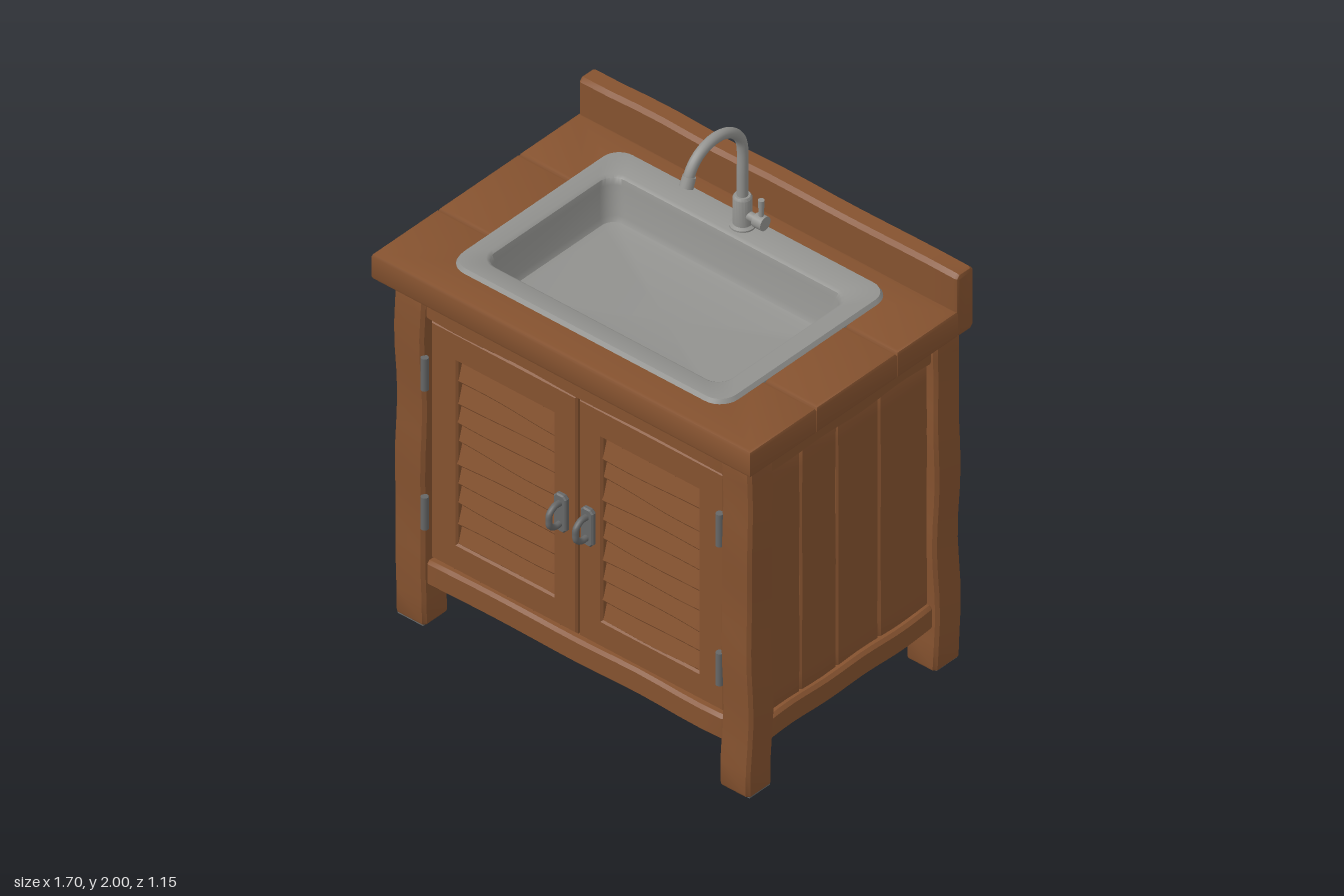
import * as THREE from 'three';
import { toCreasedNormals } from 'three/addons/utils/BufferGeometryUtils.js';

const mat = (name, color, side = THREE.FrontSide) => {
  const m = new THREE.MeshStandardMaterial({ color, side });
  m.name = name;
  return m;
};

export function createModel() {
  const wood = mat('wood', 0x85522f);
  const steel = mat('steel', 0x92928f, THREE.DoubleSide);
  const iron = mat('darkIron', 0x666767);
  const root = new THREE.Group();
  root.name = 'sinkCabinet';

  const add = (name, geo, material, parent = root) => {
    const mesh = new THREE.Mesh(geo, material);
    mesh.name = name;
    parent.add(mesh);
    return mesh;
  };

  // Rectangle with clipped corners
  const clipped = (w, h, r) => {
    const a = w / 2, b = h / 2;
    return new THREE.Shape([[a, -b + r], [a, b - r], [a - r, b], [-a + r, b], [-a, b - r],
      [-a, -b + r], [-a + r, -b], [a - r, -b]].map(([x, y]) => new THREE.Vector2(x, y)));
  };

  // Worn beam: chamfered, slightly wavy across its longest axis
  let seed = 0;
  const beam = (name, [x0, x1], [y0, y1], [z0, z1], r = 0.012, amp = 0.004, material = wood, parent = root) => {
    const w = x1 - x0, h = y1 - y0, d = z1 - z0;
    const len = Math.max(w, h, d);
    const axis = len === w ? 'x' : len === h ? 'y' : 'z';
    const shape = axis === 'x' ? clipped(d - 2 * r, h - 2 * r, r * 0.4)
      : axis === 'y' ? clipped(w - 2 * r, d - 2 * r, r * 0.4) : clipped(w - 2 * r, h - 2 * r, r * 0.4);
    const geo = new THREE.ExtrudeGeometry(shape, {
      depth: len - 2 * r, steps: 14, bevelEnabled: true, bevelSize: r, bevelThickness: r, bevelSegments: 2 });
    geo.translate(0, 0, -len / 2 + r);
    if (axis === 'x') geo.rotateY(Math.PI / 2);
    if (axis === 'y') geo.rotateX(-Math.PI / 2);
    geo.translate((x0 + x1) / 2, (y0 + y1) / 2, (z0 + z1) / 2);
    const p = geo.attributes.position, s = ++seed * 1.7;
    for (let i = 0; i < p.count; i++) {
      const x = p.getX(i), y = p.getY(i), z = p.getZ(i);
      const t = axis === 'x' ? x : axis === 'y' ? y : z;
      const u = amp * Math.sin(t * 9 + s + x * 2), v = amp * Math.sin(t * 13 + s * 2 + z * 3);
      if (axis === 'x') p.setXYZ(i, x, y + u, z + v * 0.5);
      else if (axis === 'y') p.setXYZ(i, x + u, y, z + v);
      else p.setXYZ(i, x + u * 0.5, y + v, z);
    }
    return add(name, toCreasedNormals(geo, 0.6), material, parent);
  };

  // Legs with foot pads
  for (const s of [-1, 1]) {
    for (const [z0, z1] of [[0.39, 0.515], [-0.565, -0.435]]) {
      const x = s < 0 ? [-0.8, -0.665] : [0.665, 0.8];
      beam('leg', x, [0.004, 1.42], [z0, z1], 0.012);
      add('footPad', new THREE.BoxGeometry(0.115, 0.008, 0.105).translate(s * 0.7325, 0.004, (z0 + z1) / 2), iron);
    }
    // Side rails and planks
    const side = (a, b) => (s < 0 ? [-b, -a] : [a, b]);
    beam('sideTopRail', side(0.7, 0.78), [1.29, 1.415], [-0.44, 0.4]);
    beam('sideBottomRail', side(0.7, 0.785), [0.175, 0.275], [-0.44, 0.4]);
    const cuts = [-0.44, -0.19, 0.025, 0.21, 0.395];
    for (let i = 0; i < 4; i++) beam('sidePlank', side(0.715, 0.76), [0.26, 1.3], [cuts[i], cuts[i + 1]], 0.008, 0.001);
  }

  // Front and back rails, back panels, floor
  beam('frontTopRail', [-0.67, 0.67], [1.29, 1.415], [0.41, 0.5]);
  beam('frontBottomRail', [-0.67, 0.67], [0.175, 0.28], [0.41, 0.5]);
  beam('backTopRail', [-0.67, 0.67], [1.29, 1.415], [-0.55, -0.46]);
  beam('backBottomRail', [-0.67, 0.67], [0.175, 0.275], [-0.55, -0.46]);
  beam('backPanel', [-0.67, -0.001], [0.26, 1.3], [-0.525, -0.48], 0.006, 0);
  beam('backPanel', [0.001, 0.67], [0.26, 1.3], [-0.525, -0.48], 0.006, 0);
  add('floorPanel', new THREE.BoxGeometry(1.46, 0.03, 0.96).translate(0, 0.2, -0.025), wood);

  // Doors: frame, louvre slats, hinges, handle
  for (const s of [-1, 1]) {
    const door = new THREE.Group();
    door.name = s < 0 ? 'rightDoor' : 'leftDoor';
    root.add(door);
    const rect = (T, x0, x1, y0, y1) => new T([[x0, y0], [x1, y0], [x1, y1], [x0, y1]]
      .map(([x, y]) => new THREE.Vector2(x, y)));
    const b = 0.008;
    const xs = (a, c) => (s < 0 ? [-c, -a] : [a, c]);
    const frame = rect(THREE.Shape, ...xs(0.004 + b, 0.66 - b), 0.285 + b, 1.285 - b);
    frame.holes.push(rect(THREE.Path, ...xs(0.11 - b, 0.54 + b), 0.4 - b, 1.165 + b));
    add('doorFrame', new THREE.ExtrudeGeometry(frame, {
      depth: 0.04, bevelSize: b, bevelThickness: b, bevelSegments: 1 }).translate(0, 0, 0.437), wood, door);
    const pitch = 0.765 / 9;
    for (let i = 0; i < 9; i++) {
      const slat = beam('louvreSlat', [-0.225, 0.225], [-0.052, 0.052], [-0.009, 0.009], 0.005, 0.003, wood, door);
      slat.position.set(s * 0.325, 0.4 + pitch * (i + 0.5), 0.457);
      slat.rotation.set(-0.28, 0, 0.02 * Math.sin(i * 2.3 + s));
    }
    for (const y of [0.49, 1.075]) {
      add('hingeBarrel', new THREE.CylinderGeometry(0.014, 0.014, 0.135, 12).translate(s * 0.662, y, 0.512), iron, door);
    }
    const plate = new THREE.ExtrudeGeometry(clipped(0.046, 0.145, 0.01), {
      depth: 0.012, bevelSize: 0.005, bevelThickness: 0.005, bevelSegments: 1 });
    add('handlePlate', plate.translate(s * 0.06, 0.782, 0.492), iron, door);
    const grip = new THREE.CatmullRomCurve3([[0.825, 0.505], [0.825, 0.535], [0.805, 0.56], [0.782, 0.562],
      [0.759, 0.56], [0.739, 0.535], [0.739, 0.505]].map(([y, z]) => new THREE.Vector3(s * 0.06, y, z)));
    add('handleGrip', new THREE.TubeGeometry(grip, 24, 0.012, 10), iron, door);
  }

  // Countertop planks notched around the basin
  const counterPlank = (pts) => {
    const b = 0.014, shape = new THREE.Shape(pts.map(([x, z]) => new THREE.Vector2(x, -z)));
    const geo = new THREE.ExtrudeGeometry(shape, {
      depth: 0.11 - 2 * b, bevelSize: b, bevelOffset: -b, bevelThickness: b, bevelSegments: 2 });
    geo.rotateX(-Math.PI / 2).translate(0, 1.41 + b, 0);
    add('counterPlank', toCreasedNormals(geo, 0.6), wood);
  };
  const E = 0.85, H = 0.56;
  counterPlank([[-E, 0.57], [E, 0.57], [E, 0.232], [H, 0.232], [H, 0.39], [-H, 0.39], [-H, 0.232], [-E, 0.232]]);
  counterPlank([[-E, -0.182], [-H, -0.182], [-H, -0.32], [H, -0.32], [H, -0.182], [E, -0.182], [E, -0.49], [-E, -0.49]]);
  for (const [x0, x1] of [[-E, -H], [H, E]]) counterPlank([[x0, 0.229], [x1, 0.229], [x1, -0.179], [x0, -0.179]]);
  beam('backsplash', [-0.85, 0.85], [1.41, 1.67], [-0.572, -0.484], 0.015, 0.003);

  // Sink: rounded-rectangle loops lofted from rim edge to basin floor
  const loops = [ // half width, half depth, corner radius, y, centre z
    [0.615, 0.43, 0.075, 1.505, 0.015], [0.62, 0.435, 0.08, 1.52, 0.015], [0.61, 0.425, 0.07, 1.535, 0.015],
    [0.545, 0.34, 0.07, 1.536, 0.035], [0.533, 0.328, 0.06, 1.528, 0.035], [0.527, 0.322, 0.06, 1.505, 0.035],
    [0.518, 0.313, 0.06, 1.385, 0.035], [0.508, 0.303, 0.05, 1.365, 0.035], [0.485, 0.28, 0.04, 1.358, 0.035],
    [0, 0, 0, 1.355, 0.035]];
  const pos = [], index = [], perCorner = 8, n = perCorner * 4;
  for (const [w, d, r, y, cz] of loops) {
    for (let c = 0; c < 4; c++) {
      const sx = c === 0 || c === 3 ? 1 : -1, sz = c < 2 ? 1 : -1;
      for (let k = 0; k < perCorner; k++) {
        const t = (c + k / (perCorner - 1)) * Math.PI / 2;
        pos.push(sx * (w - r) + r * Math.cos(t), y, cz + sz * (d - r) + r * Math.sin(t));
      }
    }
  }
  for (let j = 0; j < loops.length - 1; j++) {
    for (let i = 0; i < n; i++) {
      const a = j * n + i, b = j * n + (i + 1) % n;
      index.push(a, a + n, b);
      if (j < loops.length - 2) index.push(b, a + n, b + n);
    }
  }
  const sink = new THREE.BufferGeometry();
  sink.setAttribute('position', new THREE.Float32BufferAttribute(pos, 3));
  sink.setIndex(index);
  add('sinkBasin', toCreasedNormals(sink, 0.7), steel);

  // Tap: turned body, swan neck, nozzle and side lever
  const tap = new THREE.Group();
  tap.name = 'tap';
  tap.position.set(-0.003, 0, -0.36);
  root.add(tap);
  const body = [[0, 1.53], [0.046, 1.53], [0.046, 1.542], [0.034, 1.548], [0.034, 1.655], [0.028, 1.664], [0, 1.664]];
  add('tapBody', toCreasedNormals(new THREE.LatheGeometry(body.map(([x, y]) => new THREE.Vector2(x, y)), 20), 0.6), steel, tap);
  const path = [[1.65, 0], [1.75, 0]];
  for (let i = 0; i <= 8; i++) {
    const t = Math.PI * (1 - i * 0.108);
    path.push([1.855 + 0.125 * Math.sin(t), 0.14 + 0.14 * Math.cos(t)]);
  }
  path.push([1.87, 0.281]);
  const neck = new THREE.CatmullRomCurve3(path.map(([y, z]) => new THREE.Vector3(0, y, z)));
  add('swanNeck', new THREE.TubeGeometry(neck, 48, 0.02, 14), steel, tap);
  const nozzle = add('nozzle', new THREE.CylinderGeometry(0.024, 0.026, 0.04, 16), steel, tap);
  nozzle.position.set(0, 1.875, 0.279);
  nozzle.rotation.x = -0.4;
  add('valve', new THREE.CylinderGeometry(0.017, 0.017, 0.07, 14).rotateZ(Math.PI / 2).translate(0.04, 1.59, 0), steel, tap);
  add('valveKnob', new THREE.CylinderGeometry(0.027, 0.027, 0.04, 16).rotateZ(Math.PI / 2).translate(0.082, 1.59, 0), steel, tap);
  add('lever', new THREE.CylinderGeometry(0.012, 0.008, 0.08, 10).translate(0.084, 1.642, 0), steel, tap);

  return root;
}
